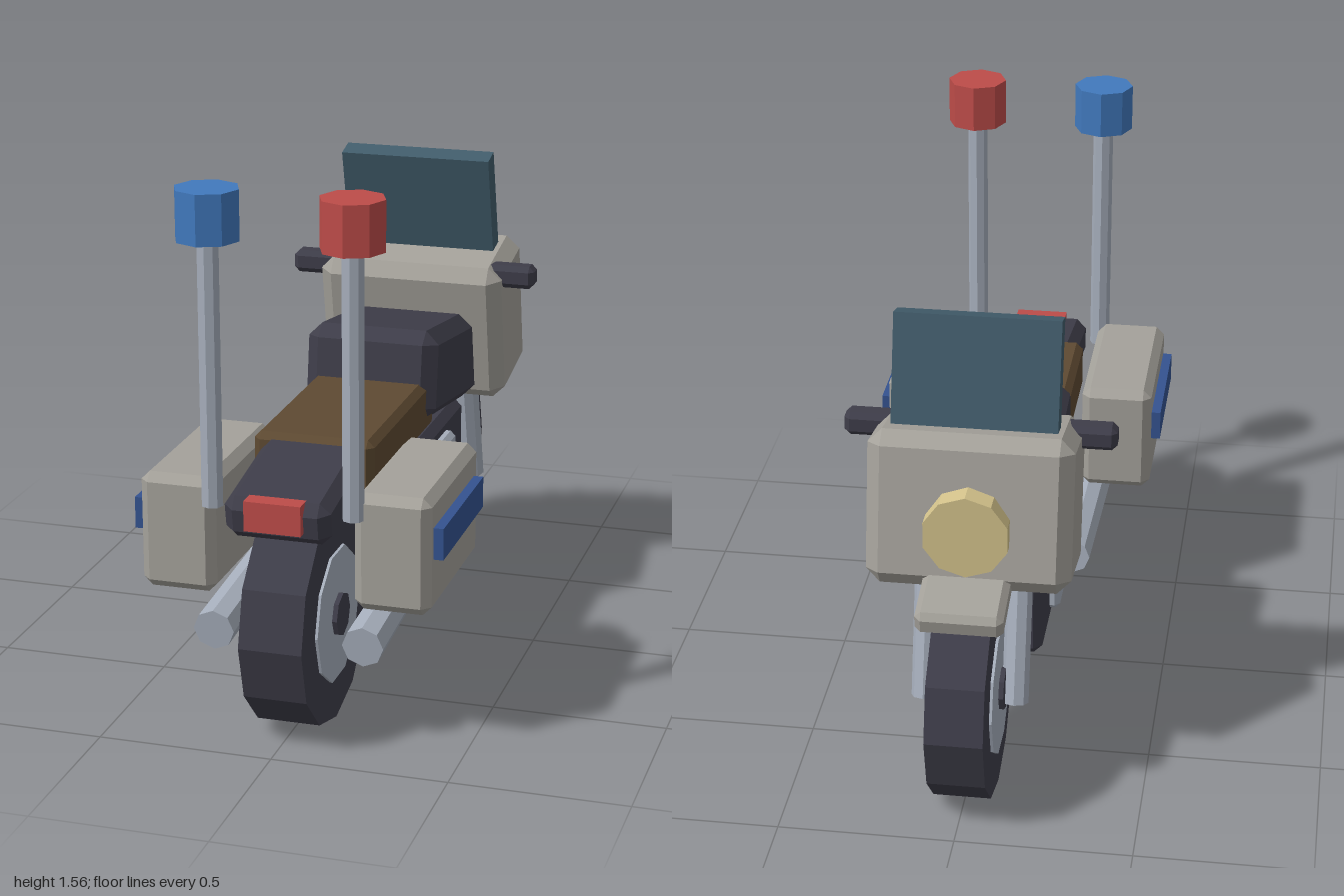
import * as THREE from 'three';
import { ConvexGeometry } from 'three/addons/geometries/ConvexGeometry.js';

const mat = (name, color) => {
  const m = new THREE.MeshStandardMaterial({ color, flatShading: true });
  m.name = name;
  return m;
};

export function createModel() {
  const dark = mat('dark rubber', 0x3e3d49);
  const chrome = mat('chrome', 0xa6aebb);
  const grey = mat('warm grey paint', 0xa4a19a);
  const brown = mat('brown leather', 0x5e4a32);
  const glass = mat('tinted glass', 0x415c6b);
  const red = mat('red light', 0xbd4c49);
  const blue = mat('blue light', 0x4179bd);
  const navy = mat('navy stripe', 0x345390);
  const yellow = mat('headlight yellow', 0xd3c28b);

  const model = new THREE.Group();
  model.name = 'motorcycle';

  const add = (name, geo, material, x, y, z, rx = 0) => {
    const mesh = new THREE.Mesh(geo, material);
    mesh.name = name;
    mesh.position.set(x, y, z);
    mesh.rotation.x = rx;
    model.add(mesh);
    return mesh;
  };

  // Box with every edge cut at 45 degrees
  const chamferBox = (w, h, d, c) => {
    const points = [];
    const [a, b, e] = [w / 2, h / 2, d / 2];
    for (const sx of [-1, 1]) for (const sy of [-1, 1]) for (const sz of [-1, 1]) {
      points.push(
        new THREE.Vector3(sx * a, sy * (b - c), sz * (e - c)),
        new THREE.Vector3(sx * (a - c), sy * b, sz * (e - c)),
        new THREE.Vector3(sx * (a - c), sy * (b - c), sz * e));
    }
    return new ConvexGeometry(points);
  };

  // Straight round bar between two points
  const bar = (name, from, to, r0, r1, sides, material) => {
    const a = new THREE.Vector3(...from), b = new THREE.Vector3(...to);
    const dir = b.clone().sub(a);
    const mesh = add(name, new THREE.CylinderGeometry(r1, r0, dir.length(), sides), material, 0, 0, 0);
    mesh.position.copy(a).add(b).multiplyScalar(0.5);
    mesh.quaternion.setFromUnitVectors(new THREE.Vector3(0, 1, 0), dir.normalize());
    return mesh;
  };

  // Wheels: tyre, rim disc and hub cap share one axle
  const disc = (name, radius, halfWidth, sides, material, z) =>
    add(name, new THREE.CylinderGeometry(radius, radius, halfWidth * 2, sides).rotateZ(Math.PI / 2),
      material, 0, 0.315, z);
  for (const [name, z, half] of [['rear', 0.685, 0.09], ['front', -0.685, 0.082]]) {
    disc(name + 'Tyre', 0.315, half, 12, dark, z);
    disc(name + 'Rim', 0.195, half + 0.008, 10, chrome, z);
    disc(name + 'Hub', 0.063, half + 0.022, 8, dark, z);
  }

  // Body
  add('frame', chamferBox(0.34, 0.37, 0.83, 0.025), dark, 0, 0.435, 0.01);
  add('engine', chamferBox(0.4, 0.28, 0.41, 0.015), chrome, 0, 0.435, -0.005);
  add('tank', chamferBox(0.4, 0.27, 0.55, 0.04), dark, 0, 0.78, -0.21, -0.145);
  add('seat', chamferBox(0.35, 0.155, 0.64, 0.02), brown, 0, 0.722, 0.29);
  add('tail', chamferBox(0.3, 0.125, 0.46, 0.03), dark, 0, 0.7, 0.715, 0.17);
  add('tailLight', new THREE.BoxGeometry(0.16, 0.085, 0.06), red, 0, 0.687, 0.937);

  // Front end
  add('fairing', chamferBox(0.575, 0.445, 0.32, 0.04), grey, 0, 0.845, -0.55, 0.19);
  add('windshield', new THREE.BoxGeometry(0.465, 0.4, 0.068), glass, 0, 1.178, -0.517, 0.25);
  add('headlight', new THREE.CylinderGeometry(0.123, 0.123, 0.16, 10).rotateX(Math.PI / 2),
    yellow, 0, 0.833, -0.678);
  add('frontFender', chamferBox(0.245, 0.075, 0.34, 0.018), grey, 0, 0.664, -0.728, -0.23);
  add('handlebar', chamferBox(0.77, 0.07, 0.07, 0.016), dark, 0, 1.011, -0.442);

  // Mirrored parts: forks, exhausts, luggage cases, light poles
  for (const [side, s, lamp] of [['left', 1, red], ['right', -1, blue]]) {
    bar(side + 'Fork', [s * 0.13, 0.27, -0.685], [s * 0.13, 0.75, -0.56], 0.038, 0.038, 8, chrome);
    bar(side + 'Exhaust', [s * 0.215, 0.293, 0.845], [s * 0.215, 0.366, -0.01], 0.059, 0.052, 8, chrome);
    add(side + 'Case', chamferBox(0.215, 0.335, 0.52, 0.025), grey, s * 0.305, 0.58, 0.62);
    add(side + 'CaseStripe', new THREE.BoxGeometry(0.05, 0.09, 0.43), navy, s * 0.415, 0.615, 0.625);
    bar(side + 'LightPole', [s * 0.2, 0.675, 0.876], [s * 0.2, 1.43, 0.876], 0.031, 0.031, 8, chrome);
    add(side + 'Beacon', new THREE.CylinderGeometry(0.09, 0.09, 0.14, 8), lamp, s * 0.2, 1.49, 0.876);
  }

  return model;
}
